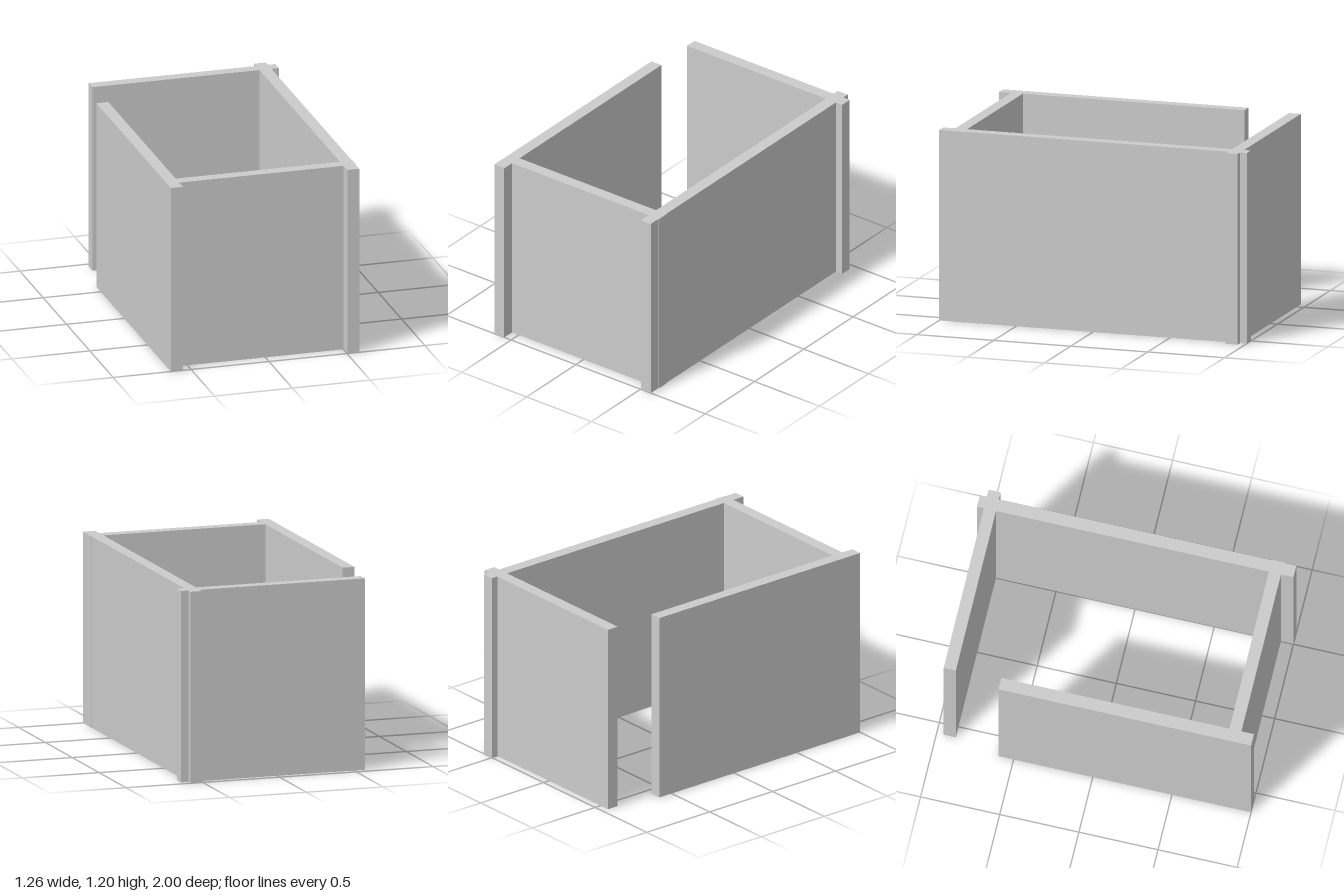
import * as THREE from 'three';

const HEIGHT = 1.2;

export function createModel() {
  const model = new THREE.Group();
  model.name = 'wallEnclosure';
  const material = new THREE.MeshStandardMaterial({ color: 0xcccccc, flatShading: true });

  // A full-height wall given by its extents on the floor plan
  const addWall = (name, x0, x1, z0, z1) => {
    const wall = new THREE.Mesh(new THREE.BoxGeometry(x1 - x0, HEIGHT, z1 - z0), material);
    wall.position.set((x0 + x1) / 2, HEIGHT / 2, (z0 + z1) / 2);
    wall.name = name;
    model.add(wall);
  };

  // Long side walls; the right one stops short to leave the doorway
  addWall('leftWall', 0.502, 0.579, -1, 1);
  addWall('rightWall', -0.63, -0.553, -0.595, 1);

  // Cross walls, running through the side walls they meet
  addWall('frontWall', -0.6, 0.583, 0.845, 0.921);
  addWall('backWall', -0.571, 0.627, -0.956, -0.879);

  return model;
}
